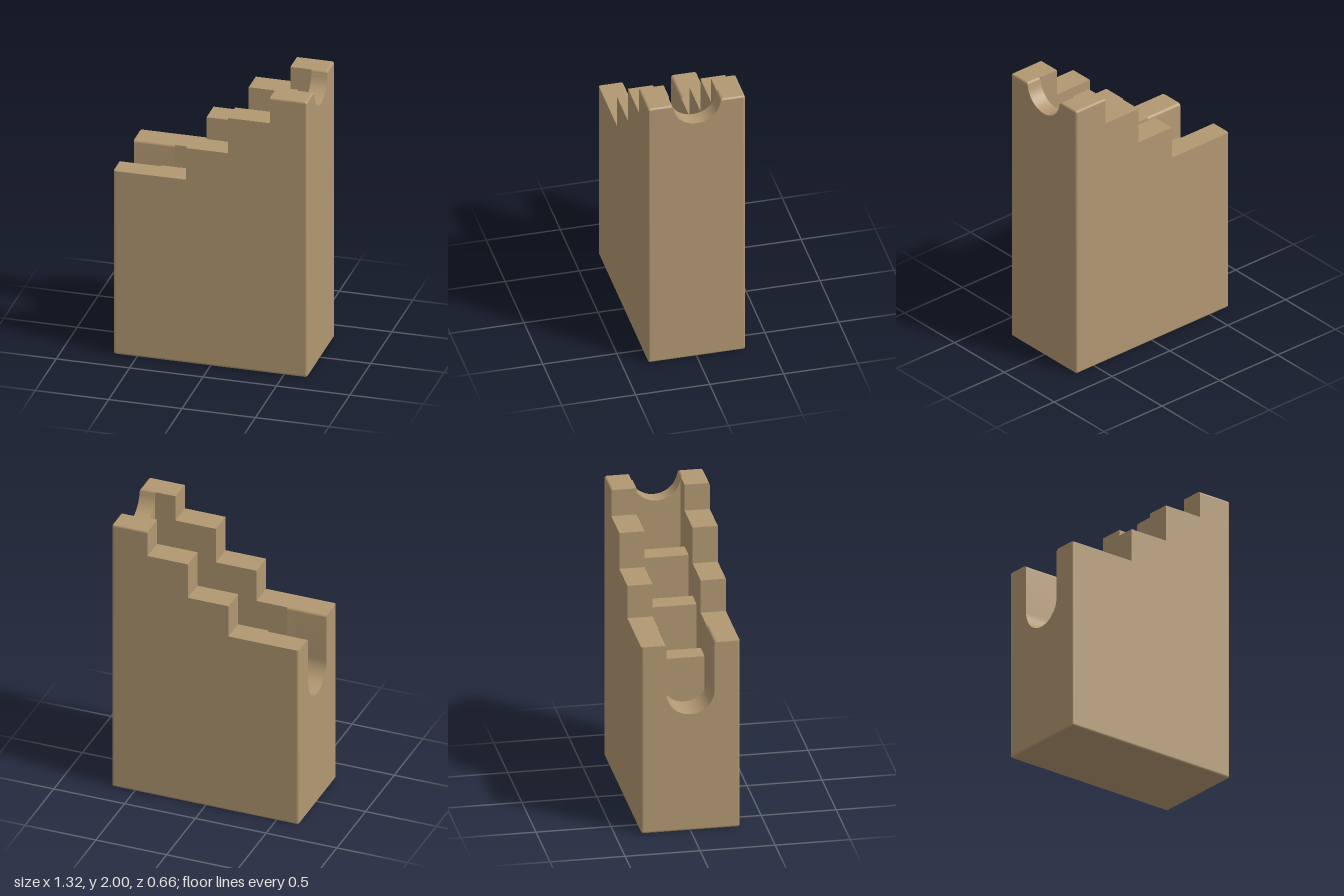
import * as THREE from 'three';
import { mergeGeometries, toCreasedNormals } from 'three/addons/utils/BufferGeometryUtils.js';

const END = 0.66, W = 0.328;      // half length, half depth
const C = 0.16;                   // half width of the channel
const R = 0.015, F = 0.02;        // outer edge rounding, channel lip rounding
const TALL = 2, DEEP = 0.3;       // top of the block, pocket floor
const mirror = (pts) => [...pts, ...pts.map(([z, y]) => [-z, y]).reverse()];
const arc = (n, fn) => Array.from({ length: n + 1 }, (_, k) => fn((k / n) * Math.PI / 2));

// Slices along x: top height, channel floor, lip rounding, round floor centre
const slices = [
  { x0: -END, x1: -0.445, top: 1.33, lip: F, centre: 0.99 },
  { x0: -0.445, x1: -0.38, top: 1.33, lip: F, floor: DEEP },
  { x0: -0.38, x1: -0.305, top: 1.33, lip: 0, floor: DEEP },
  { x0: -0.305, x1: -0.165, top: 1.33, lip: 0, floor: 1.08 },
  { x0: -0.165, x1: -0.02, top: 1.56, lip: 0, floor: DEEP },
  { x0: -0.02, x1: 0.122, top: 1.56, lip: 0, floor: 1.33 },
  { x0: 0.122, x1: 0.265, top: 1.815, lip: 0, floor: DEEP },
  { x0: 0.265, x1: 0.407, top: 1.815, lip: 0, floor: 1.56 },
  { x0: 0.407, x1: 0.55, top: TALL, lip: 0, floor: DEEP },
  { x0: 0.55, x1: END, top: TALL, lip: F, centre: TALL },
];

// Outer outline from the channel lip over the top and down to the bottom (z, y)
function outerHalf(s, inset) {
  const w = W - inset, r = Math.max(R - inset, 0.001);
  const tall = s.top === TALL, h = tall ? s.top - inset : s.top;
  const corner = tall
    ? arc(4, (a) => [w - r + r * Math.sin(a), h - r + r * Math.cos(a)])
    : [[w, h]];
  return [[C + s.lip, h], ...corner,
    ...arc(4, (a) => [w - r + r * Math.cos(a), inset + r - r * Math.sin(a)])];
}

// Rounded lip at the top of the channel wall
const lipCurve = (s) => (s.lip
  ? arc(6, (a) => [C + F - F * Math.sin(a), s.top - F + F * Math.cos(a)])
  : [[C, s.top]]);

// Bottom of the channel: a half circle or a flat floor
function channelFloor(s) {
  if (s.floor !== undefined) return [[C, s.floor]];
  return arc(18, (a) => [C * Math.cos(a), s.centre - C * Math.sin(a)])
    .filter(([, y]) => y <= s.top - s.lip);
}

function channelPath(s, inset) {
  const h = s.top === TALL ? TALL - inset : s.top;
  return mirror([...lipCurve(s), ...channelFloor(s)]).map(([z, y]) => [z, Math.min(y, h)]);
}

// x stations of a slice, with the rounded ends of the block
function stations(s) {
  const list = [];
  if (s.x0 === -END) list.push(...arc(4, (a) => [-END + R * (1 - Math.cos(a)), R * (1 - Math.sin(a))]));
  else list.push([s.x0, 0]);
  if (s.x1 === END) list.push(...arc(4, (a) => [END - R * (1 - Math.cos(a)), R * (1 - Math.sin(a))]).reverse());
  else list.push([s.x1, 0]);
  return list;
}

// Surface through the outlines at each station
function loft(s, path) {
  const rows = stations(s).map(([x, inset]) => path(s, inset).map(([z, y]) => [x, y, z]));
  const pos = [];
  for (let i = 0; i + 1 < rows.length; i++) {
    for (let j = 0; j + 1 < rows[i].length; j++) {
      const a = rows[i][j], b = rows[i + 1][j], c = rows[i + 1][j + 1], d = rows[i][j + 1];
      pos.push(...a, ...b, ...c, ...a, ...c, ...d);
    }
  }
  const g = new THREE.BufferGeometry();
  g.setAttribute('position', new THREE.Float32BufferAttribute(pos, 3));
  return g;
}

// Flat face across x from a (z, y) outline
function face(x, pts) {
  const shape = new THREE.Shape(pts.map(([z, y]) => new THREE.Vector2(z, y)));
  const g = new THREE.ShapeGeometry(shape).rotateY(-Math.PI / 2).translate(x, 0, 0).toNonIndexed();
  g.deleteAttribute('uv');
  g.deleteAttribute('normal');
  return g;
}
const bothSides = (x, pts) => [face(x, pts), face(x, pts.map(([z, y]) => [-z, y]))];

export function createModel() {
  const group = new THREE.Group();
  const tan = new THREE.MeshStandardMaterial({ color: 0xb39872, side: THREE.DoubleSide });
  tan.name = 'tan';
  const add = (name, list) => {
    const mesh = new THREE.Mesh(toCreasedNormals(mergeGeometries(list), 0.15), tan);
    mesh.name = name;
    group.add(mesh);
  };

  const shell = [], channel = [], risers = [], dividers = [];
  const outer = (s, inset) => mirror(outerHalf(s, inset));
  slices.forEach((s, i) => {
    shell.push(loft(s, outer));
    channel.push(loft(s, channelPath));

    // End faces of the block
    if (i === 0 || i === slices.length - 1) {
      shell.push(face(i ? END : -END, [...outer(s, R), ...channelPath(s, R).reverse()]));
    }
    const next = slices[i + 1];
    if (!next) return;

    // Stair risers on both walls
    if (next.top > s.top) {
      const upper = outerHalf(next, 0).filter(([, y]) => y > s.top);
      risers.push(...bothSides(s.x1, [...upper, [W, s.top], [C, s.top]]));
    }
    // Ends of the rounded lips
    if (s.lip !== next.lip) {
      const lipped = s.lip ? s : next;
      risers.push(...bothSides(s.x1, [...lipCurve(lipped), [C, lipped.top]]));
    }
    // Walls between pockets and the higher channel floors
    if (s.floor !== next.floor) {
      const high = s.floor === DEEP ? next : s;
      dividers.push(face(s.x1, [...mirror(channelFloor(high)), [-C, DEEP], [C, DEEP]]));
    }
  });

  add('block', shell);
  add('channel', channel);
  add('stairRisers', risers);
  add('pocketDividers', dividers);

  // Slightly raised pad in the floor of each pocket
  for (const x of [-0.375, -0.0925, 0.1935, 0.4785]) {
    const pad = new THREE.Mesh(new THREE.BoxGeometry(0.127, 0.016, 0.3), tan);
    pad.position.set(x, DEEP, 0);
    pad.name = 'pocketPad';
    group.add(pad);
  }
  return group;
}
